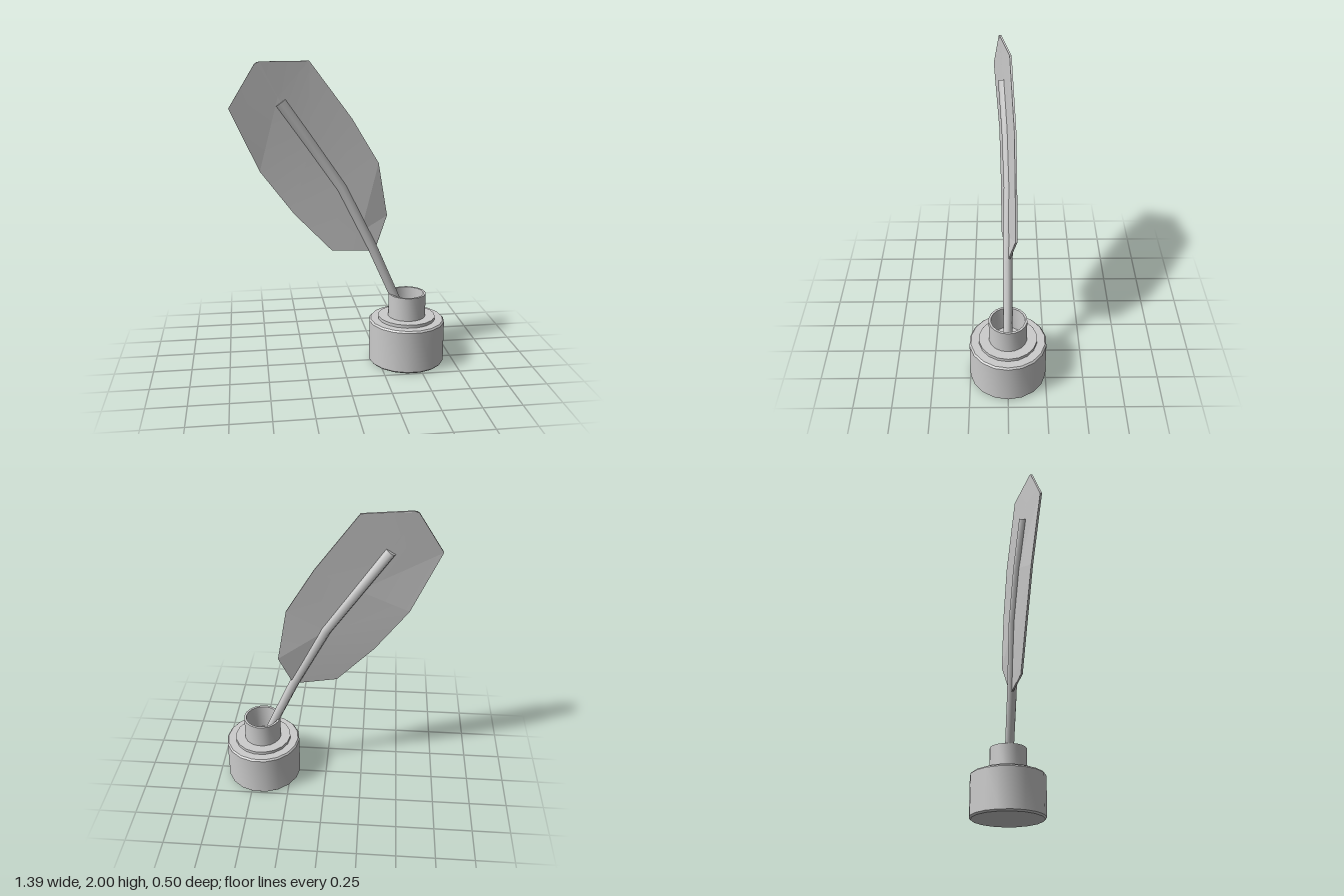
import * as THREE from 'three';
import { toCreasedNormals } from 'three/addons/utils/BufferGeometryUtils.js';

// Skin a list of equal-length rings (counter-clockwise seen from the far end) and cap both ends.
function loft(rings, crease) {
  const n = rings[0].length, index = [];
  rings.slice(1).forEach((_, i) => {
    for (let j = 0; j < n; j++) {
      const k = (j + 1) % n, lo = i * n, hi = lo + n;
      index.push(lo + j, lo + k, hi + k, lo + j, hi + k, hi + j);
    }
  });
  const top = (rings.length - 1) * n;
  for (let j = 1; j < n - 1; j++) {
    index.push(0, j + 1, j, top, top + j, top + j + 1);
  }
  const geo = new THREE.BufferGeometry().setFromPoints(rings.flat());
  geo.setIndex(index);
  return toCreasedNormals(geo, crease);
}

function addMesh(group, name, geometry) {
  const mesh = new THREE.Mesh(geometry, new THREE.MeshStandardMaterial({ color: 0xcccccc }));
  mesh.name = name;
  group.add(mesh);
  return mesh;
}

export function createModel() {
  const model = new THREE.Group();
  model.name = 'quillAndInkwell';

  // Inkwell: bevelled body, shoulder step and hollow neck
  const profile = [
    [0, 0], [0.242, 0], [0.253, 0.011], [0.253, 0.284], [0.243, 0.295],
    [0.19, 0.295], [0.19, 0.316], [0.125, 0.316], [0.125, 0.474],
    [0.11, 0.474], [0.11, 0.3], [0, 0.3],
  ].map(([r, y]) => new THREE.Vector2(r, y));
  const well = new THREE.LatheGeometry(profile, 18, Math.PI / 2);
  addMesh(model, 'inkwell', toCreasedNormals(well, 0.6)).position.x = 0.44;

  // Quill shaft: eight-sided, bending to the side and widening upward
  const path = [
    [0.425, 0.29, 0], [0.345, 0.475, 0], [0.21, 0.78, 0],
    [0, 1.2, -0.01], [-0.2, 1.49, 0], [-0.383, 1.75, 0.02],
  ].map((p) => new THREE.Vector3(...p));
  const zAxis = new THREE.Vector3(0, 0, 1);
  const shaftRings = path.map((p, i) => {
    const next = path[Math.min(i + 1, path.length - 1)];
    const along = next.clone().sub(path[Math.max(i - 1, 0)]).normalize();
    const across = along.clone().cross(zAxis).normalize();
    const radius = THREE.MathUtils.lerp(0.028, 0.037, i / (path.length - 1));
    return Array.from({ length: 8 }, (_, j) => {
      const a = (j / 8) * Math.PI * 2;
      return p.clone()
        .addScaledVector(zAxis, radius * Math.cos(a))
        .addScaledVector(across, radius * Math.sin(a));
    });
  });
  addMesh(model, 'quillShaft', loft(shaftRings, 0.95));

  // Feather vane: rows of right edge, spine and left edge, given a thin even thickness
  const rows = [
    [[0.18, 0.78, 0], [0.205, 0.775, 0], [0.22, 0.785, -0.006]],
    [[-0.07, 0.8, 0.033], [0.125, 0.91, -0.003], [0.305, 1.0, -0.053]],
    [[-0.31, 1.05, 0.036], [0, 1.2, -0.01], [0.245, 1.35, -0.05]],
    [[-0.52, 1.33, 0.045], [-0.2, 1.49, 0], [0.07, 1.64, -0.046]],
    [[-0.7, 1.725, 0.08], [-0.4, 1.785, 0.022], [-0.2, 2, -0.02]],
    [[-0.538, 1.985, 0.045], [-0.525, 1.995, 0.042], [-0.505, 2, 0.04]],
  ];
  const half = 0.006;
  const vaneRings = rows.map((row) => {
    const side = (dz) => row.map(([x, y, z]) => new THREE.Vector3(x, y, z + dz));
    return [...side(half), ...side(-half).reverse()];
  });
  addMesh(model, 'featherVane', loft(vaneRings, 0.05));

  return model;
}
